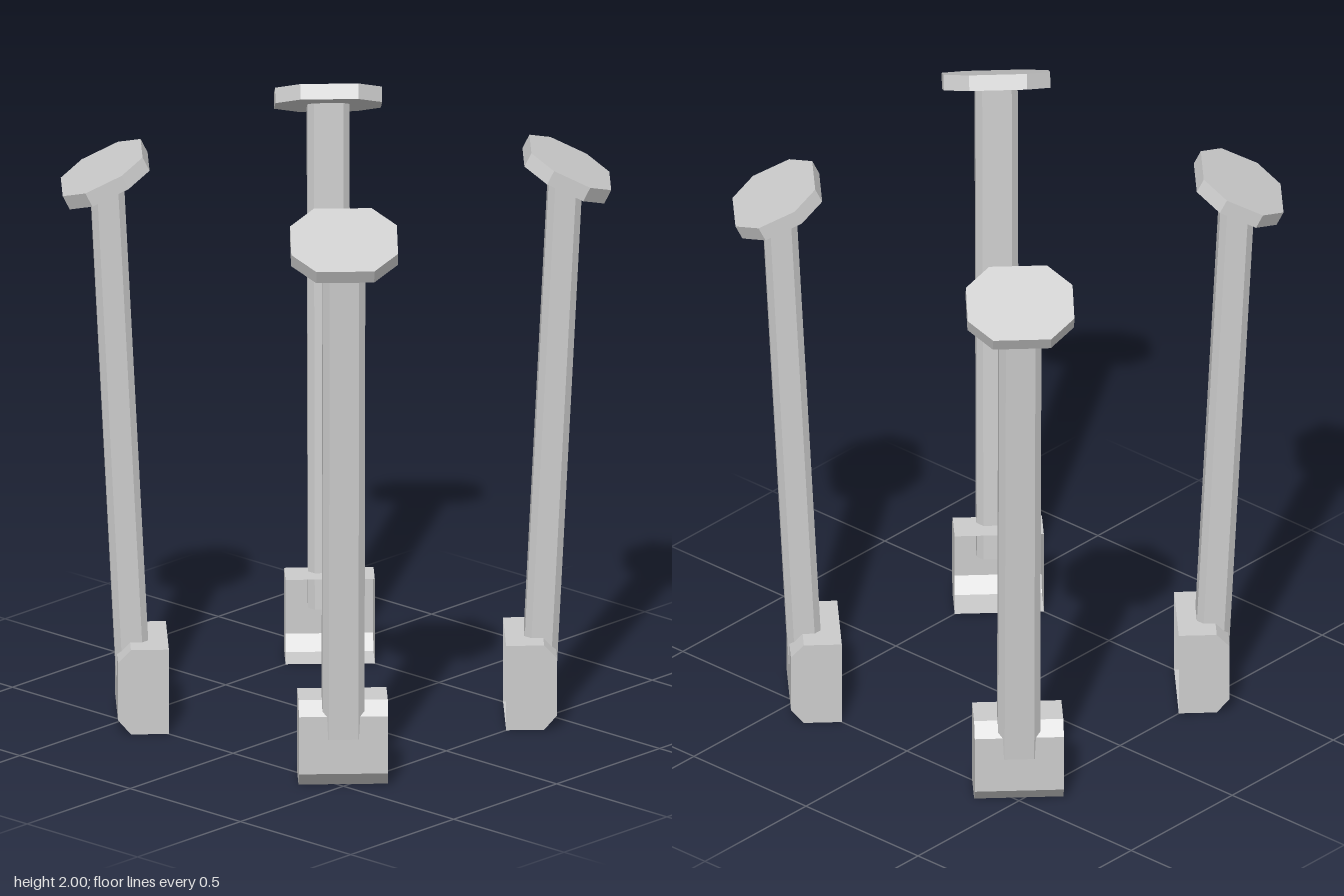
import * as THREE from 'three';

const material = new THREE.MeshStandardMaterial({ color: 0xcccccc, flatShading: true });
const openMaterial = new THREE.MeshStandardMaterial({ color: 0xcccccc, flatShading: true, side: THREE.DoubleSide });

// Rectangle with cut corners, extruded upward from y = 0
function chamferedPrism(width, depth, cut, height) {
  const w = width / 2, d = depth / 2;
  const shape = new THREE.Shape([
    [w - cut, -d], [w, -d + cut], [w, d - cut], [w - cut, d],
    [-w + cut, d], [-w, d - cut], [-w, -d + cut], [-w + cut, -d],
  ].map(([x, y]) => new THREE.Vector2(x, y)));
  return new THREE.ExtrudeGeometry(shape, { depth: height, bevelEnabled: false }).rotateX(-Math.PI / 2);
}

// Hollow foot, open toward the middle of the model
function createFoot() {
  const foot = new THREE.Group();
  foot.name = 'foot';
  const halfWidth = 0.148;
  const profile = [[0.559, 0], [0.685, 0], [0.728, 0.05], [0.728, 0.25], [0.685, 0.295], [0.559, 0.295]];

  const shell = new THREE.PlaneGeometry(halfWidth * 2, 1, 1, profile.length - 1);
  const p = shell.attributes.position;
  for (let i = 0; i < p.count; i++) {
    const [z, y] = profile[Math.floor(i / 2)];
    p.setXYZ(i, p.getX(i), y, z);
  }
  shell.computeVertexNormals();
  const shellMesh = new THREE.Mesh(shell, openMaterial);
  shellMesh.name = 'footShell';
  foot.add(shellMesh);

  const sideShape = new THREE.Shape(profile.map(([z, y]) => new THREE.Vector2(z, y)));
  for (const side of [-1, 1]) {
    const wall = new THREE.Mesh(new THREE.ShapeGeometry(sideShape).rotateY(-Math.PI / 2), openMaterial);
    wall.name = 'footSide';
    wall.position.x = side * halfWidth;
    foot.add(wall);
  }
  return foot;
}

// Column leaning outward, its top cut to the slope of the cap
function createColumn() {
  const geometry = chamferedPrism(0.14, 0.112, 0.021, 1);
  const p = geometry.attributes.position;
  for (let i = 0; i < p.count; i++) {
    const z = p.getZ(i);
    const y = p.getY(i) > 0.5 ? 1.895 - z * 0.5 : 0.17;
    p.setXYZ(i, p.getX(i), y, z + 0.674 + (y - 0.17) * 0.05);
  }
  geometry.computeVertexNormals();
  const column = new THREE.Mesh(geometry, material);
  column.name = 'column';
  return column;
}

// Eight-sided plate sloping down and outward
function createCap() {
  const thickness = 0.052;
  const geometry = chamferedPrism(0.354, 0.296, 0.081, thickness).translate(0, -thickness, 0);
  const cap = new THREE.Mesh(geometry, material);
  cap.name = 'cap';
  cap.rotation.x = Math.atan(0.5);
  cap.position.set(0, 1.934, 0.777);
  return cap;
}

export function createModel() {
  const model = new THREE.Group();
  model.name = 'fourPosts';
  const names = ['frontLeftPost', 'backLeftPost', 'backRightPost', 'frontRightPost'];
  names.forEach((name, i) => {
    const post = new THREE.Group();
    post.name = name;
    post.add(createFoot(), createColumn(), createCap());
    post.rotation.y = Math.PI / 4 + i * Math.PI / 2;
    model.add(post);
  });
  return model;
}
